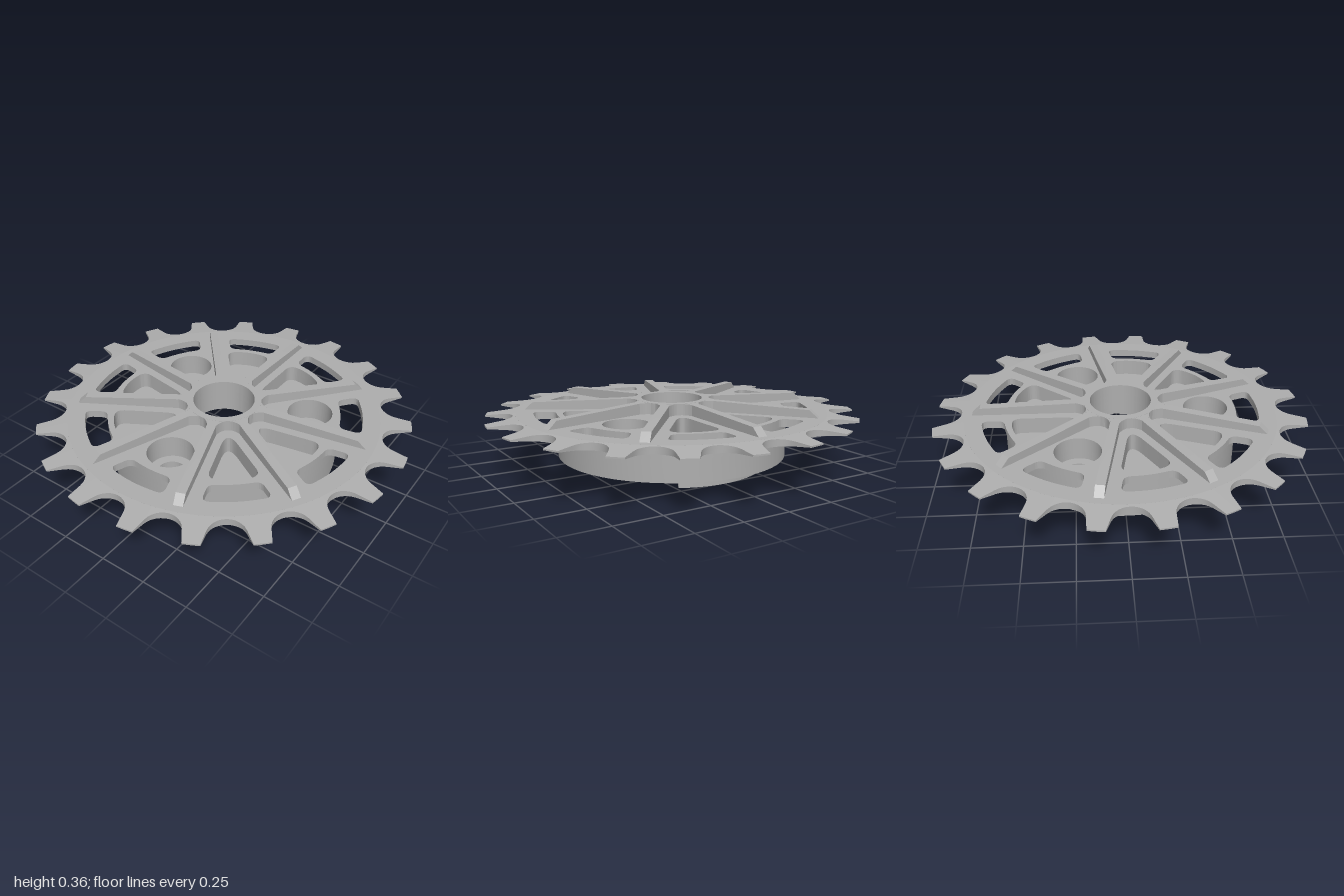
import * as THREE from 'three';
import { toCreasedNormals } from 'three/addons/utils/BufferGeometryUtils.js';

const RAD = Math.PI / 180;
const polar = (r, deg) => new THREE.Vector2(r * Math.cos(deg * RAD), r * Math.sin(deg * RAD));

export function createModel() {
  const group = new THREE.Group();
  const metal = new THREE.MeshStandardMaterial({ color: 0xaeaeae });
  metal.name = 'grey metal';

  const add = (name, geometry, angle = 0) => {
    const mesh = new THREE.Mesh(toCreasedNormals(geometry, 0.5), metal);
    mesh.name = name;
    mesh.rotation.y = angle * RAD;
    group.add(mesh);
  };
  // Horizontal slab of a plan shape between two heights
  const slab = (shape, y0, y1) => {
    const g = new THREE.ExtrudeGeometry(shape, { depth: y1 - y0, bevelEnabled: false, curveSegments: 64 });
    return g.rotateX(-Math.PI / 2).translate(0, y0, 0);
  };
  const circle = (p, r, Type = THREE.Path) => {
    const path = new Type();
    path.absarc(p.x, p.y, r, 0, Math.PI * 2, false);
    return path;
  };
  // Closed outline with rounded corners; corners are [radius, angle, cut length]
  const rounded = (corners, turn) => {
    const pts = corners.map(([r, a]) => polar(r, a + turn));
    const path = new THREE.Path();
    pts.forEach((p, i) => {
      const n = pts.length;
      const cut = corners[i][2];
      const toward = (q) => p.clone().add(q.clone().sub(p).setLength(cut));
      const a = toward(pts[(i + n - 1) % n]);
      const b = toward(pts[(i + 1) % n]);
      if (i === 0) path.moveTo(a.x, a.y);
      else path.lineTo(a.x, a.y);
      path.quadraticCurveTo(p.x, p.y, b.x, b.y);
    });
    path.closePath();
    return path;
  };

  // Cut-outs: one window per bay; every third bay has a bolt, the others a pocket
  const origin = new THREE.Vector2();
  const bore = () => circle(origin, 0.165);
  const windows = [], pockets = [], recesses = [], boltHoles = [];
  for (let i = 0; i < 9; i++) {
    const a = 30 + i * 40;
    windows.push(rounded([
      [0.63, -11.6, 0.035], [0.75, -13, 0.045], [0.752, 0, 0.09],
      [0.75, 13, 0.045], [0.63, 11.6, 0.035], [0.632, 0, 0.07],
    ], a));
    if (i % 3 === 0) {
      recesses.push(circle(polar(0.465, a), 0.12));
      boltHoles.push(circle(polar(0.465, a), 0.072));
    } else {
      pockets.push(rounded([
        [0.205, 0, 0.13], [0.59, -13.1, 0.06], [0.605, 0, 0.07], [0.59, 13.1, 0.06],
      ], a));
    }
  }

  const disc = (r, holes) => {
    const s = circle(origin, r, THREE.Shape);
    s.holes.push(bore(), ...holes);
    return s;
  };
  add('sprocketPlate', slab(disc(0.84, [...windows, ...pockets, ...recesses]), 0.26, 0.3));
  add('pocketLayer', slab(disc(0.622, [...pockets, ...recesses]), 0.21, 0.26));
  add('drumFloor', slab(disc(0.622, recesses), 0.177, 0.21));

  // Drum wall with three bolt bosses bulging into the cavity
  const bossEdge = (d) => 0.465 * Math.cos(d * RAD)
    - Math.sqrt(0.13 ** 2 - (0.465 * Math.sin(d * RAD)) ** 2);
  const cavityRadius = (d) => d < 14 ? bossEdge(d)
    : THREE.MathUtils.lerp(bossEdge(14), 0.45, THREE.MathUtils.smoothstep(d, 14, 26));
  const cavity = [];
  for (let a = 0; a < 360; a += 2) {
    cavity.push(polar(cavityRadius(Math.abs(((a + 30) % 120) - 60)), a));
  }
  const wall = circle(origin, 0.622, THREE.Shape);
  wall.holes.push(new THREE.Path(cavity), ...boltHoles);
  add('drumWall', slab(wall, 0.06, 0.177));

  // Three locating lips under the drum
  const lip = new THREE.Shape();
  lip.absarc(0, 0, 0.51, 62.5 * RAD, 117.5 * RAD, false);
  lip.absarc(0, 0, 0.45, 117.5 * RAD, 62.5 * RAD, true);
  lip.closePath();
  for (let i = 0; i < 3; i++) add('locatingLip', slab(lip, 0, 0.06), i * 120);

  // Toothed rim, tapering toward the tips
  const toothRadius = (d) => d > 5.7 ? 1.004
    : 0.95 * Math.cos(d * RAD) - Math.sqrt(0.095 ** 2 - (0.95 * Math.sin(d * RAD)) ** 2);
  const half = [0, 1.2, 2.4, 3.5, 4.5, 5.1, 5.6, 6.6, 9];
  const steps = [...half.slice(1).reverse().map((d) => -d), ...half];
  const inner = 0.838;
  const pos = [];
  const station = (a, r) => {
    const taper = 0.016 * (r - inner) / 0.165;
    const at = (rad, y) => { const p = polar(rad, a); return [p.x, y, -p.y]; };
    return {
      it: at(inner, 0.3), ib: at(inner, 0.26),
      ot: at(r, 0.3 - taper), ob: at(r, 0.26 + taper),
    };
  };
  const quad = (a, b, c, d) => pos.push(...a, ...b, ...c, ...a, ...c, ...d);
  for (let t = 0; t < 20; t++) {
    for (let k = 0; k < steps.length - 1; k++) {
      const [p, q] = [steps[k], steps[k + 1]].map((d) => station(t * 18 + d, toothRadius(Math.abs(d))));
      quad(p.it, p.ot, q.ot, q.it);
      quad(p.ib, q.ib, q.ob, p.ob);
      quad(p.ob, q.ob, q.ot, p.ot);
    }
  }
  const teeth = new THREE.BufferGeometry();
  teeth.setAttribute('position', new THREE.Float32BufferAttribute(pos, 3));
  teeth.computeVertexNormals();
  add('toothedRim', teeth);

  // Raised hub collar and nine sloping ribs
  add('hubCollar', slab(disc(0.203, []), 0.3, 0.36));
  const profile = new THREE.Shape([[0.175, 0.29], [0.8, 0.29], [0.8, 0.3], [0.755, 0.34], [0.2, 0.3595], [0.175, 0.3595]]
    .map(([x, y]) => new THREE.Vector2(x, y)));
  for (let i = 0; i < 9; i++) {
    const rib = new THREE.ExtrudeGeometry(profile, { depth: 0.048, bevelEnabled: false });
    add('rib', rib.translate(0, 0, -0.024), 90 + i * 40);
  }
  // Small webs filling the corners between neighbouring ribs
  const web = new THREE.Shape();
  const w0 = polar(0.19, -13), w1 = polar(0.245, -14.4), w2 = polar(0.245, 14.4), w3 = polar(0.19, 13);
  web.moveTo(w0.x, w0.y);
  web.lineTo(w1.x, w1.y);
  web.quadraticCurveTo(0.165, 0, w2.x, w2.y);
  web.lineTo(w3.x, w3.y);
  web.closePath();
  for (let i = 0; i < 9; i++) add('hubFillet', slab(web, 0.3, 0.359), 30 + i * 40);

  return group;
}
